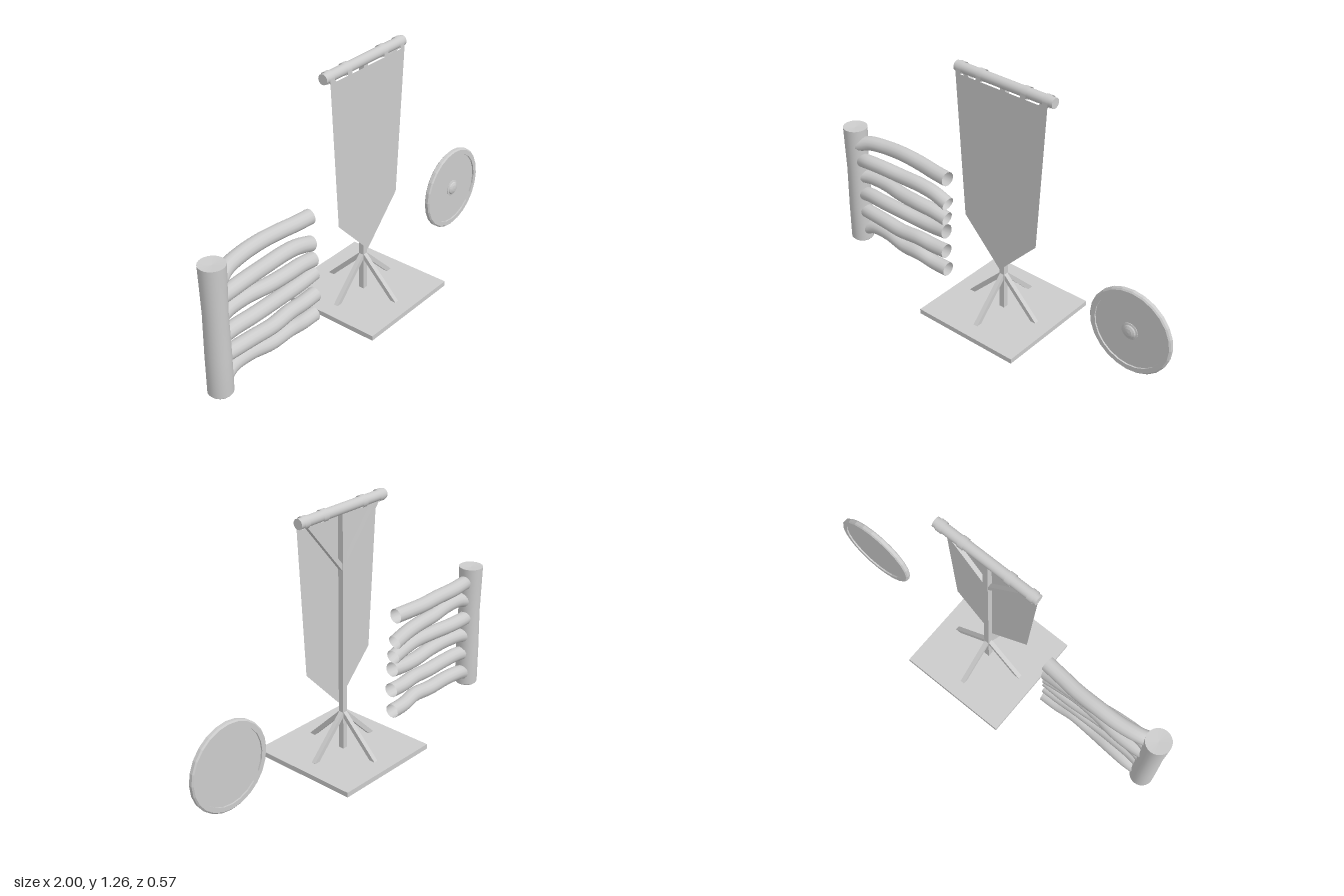
import * as THREE from 'three';

const mat = new THREE.MeshStandardMaterial({ color: 0xcccccc });
const thin = new THREE.MeshStandardMaterial({ color: 0xcccccc, side: THREE.DoubleSide });
const V = (x, y, z) => new THREE.Vector3(x, y, z);

function add(parent, name, geometry, material = mat, x = 0, y = 0, z = 0) {
  const m = new THREE.Mesh(geometry, material);
  m.name = name;
  m.position.set(x, y, z);
  parent.add(m);
  return m;
}

// square timber between two points
function beam(parent, name, a, b, size) {
  const m = add(parent, name, new THREE.BoxGeometry(size, a.distanceTo(b), size));
  m.position.copy(a).add(b).multiplyScalar(0.5);
  m.quaternion.setFromUnitVectors(V(0, 1, 0), b.clone().sub(a).normalize());
}

function createFence() {
  const g = new THREE.Group();
  g.name = 'logFence';
  // upright post with a slightly worn foot and waist
  const post = [[0, 0], [0.052, 0], [0.059, 0.008], [0.059, 0.2], [0.056, 0.42], [0.062, 0.665], [0.062, 0.665], [0, 0.66]];
  add(g, 'fencePost', new THREE.LatheGeometry(post.map(p => new THREE.Vector2(...p)), 24), thin, -0.938);

  // crooked rails: y and z at evenly spread stations along x
  const xs = [-0.92, -0.85, -0.74, -0.62, -0.5, -0.41, -0.32];
  const rails = [
    [[0.575, 0.594, 0.6, 0.603, 0.597, 0.594, 0.594], [0.015, -0.012, -0.03, -0.033, -0.03, -0.02, -0.012]],
    [[0.48, 0.497, 0.5, 0.492, 0.489, 0.478, 0.452], [0, 0.012, 0.008, -0.004, -0.01, -0.012, -0.01]],
    [[0.385, 0.392, 0.394, 0.392, 0.392, 0.386, 0.37], [0, -0.012, -0.012, 0.004, 0.01, 0.004, -0.002]],
    [[0.28, 0.295, 0.299, 0.297, 0.29, 0.291, 0.3], [0, 0.008, 0.016, 0.014, 0.006, 0.004, 0.004]],
    [[0.18, 0.186, 0.184, 0.178, 0.186, 0.18, 0.183], [0, 0.01, 0.015, 0.018, 0.014, 0.01, 0.008]],
    [[0.06, 0.087, 0.093, 0.08, 0.086, 0.07, 0.068], [0, -0.012, -0.008, 0.004, 0.008, 0.002, 0]],
  ];
  rails.forEach(([ys, zs], i) => {
    const path = new THREE.CatmullRomCurve3(xs.map((x, k) => V(x, ys[k], zs[k])));
    add(g, 'fenceRail' + (i + 1), new THREE.TubeGeometry(path, 28, 0.037, 14), thin);
  });
  return g;
}

function createBanner() {
  const g = new THREE.Group();
  g.name = 'bannerStand';
  g.position.x = 0.045;
  add(g, 'basePlate', new THREE.BoxGeometry(0.574, 0.025, 0.574), mat, 0, 0.0125, 0);
  add(g, 'pole', new THREE.BoxGeometry(0.028, 1.195, 0.028), mat, 0, 0.6175, 0);

  // feet braces on four sides
  for (const [dx, dz] of [[1, 0], [-1, 0], [0, 1], [0, -1]])
    beam(g, 'footBrace', V(dx * 0.2, 0.018, dz * 0.2), V(dx * 0.005, 0.215, dz * 0.005), 0.022);
  // upper braces under the crossbar
  for (const s of [-1, 1])
    beam(g, 'upperBrace', V(s * 0.004, 0.95, 0), V(s * 0.23, 1.222, 0), 0.022);

  const bar = add(g, 'crossbar', new THREE.CylinderGeometry(0.025, 0.025, 0.556, 20), mat, 0.002, 1.233, 0);
  bar.rotation.z = Math.PI / 2;

  // cloth straps around the bar
  for (const x of [-0.245, -0.127, 0.127, 0.245]) {
    const s = add(g, 'strap', new THREE.CylinderGeometry(0.029, 0.029, 0.03, 20, 1, true), thin, x, 1.233, 0);
    s.rotation.z = Math.PI / 2;
    add(g, 'strapTail', new THREE.PlaneGeometry(0.03, 0.026), thin, x, 1.222, 0.029);
  }

  // hanging cloth, tapering to a point
  const pts = [[-0.26, 1.213], [-0.214, 0.48], [0, 0.255], [0.214, 0.48], [0.26, 1.213]];
  const shape = new THREE.Shape(pts.map(p => new THREE.Vector2(...p)));
  add(g, 'cloth', new THREE.ShapeGeometry(shape), thin, 0, 0, 0.029);
  return g;
}

function createShield() {
  const g = new THREE.Group();
  g.name = 'roundShield';
  g.position.set(0.78, 0.255, -0.002);
  g.rotation.x = Math.PI / 2;
  const flat = mat.clone();
  flat.flatShading = true;
  const lathe = (name, p, n) =>
    add(g, name, new THREE.LatheGeometry(p.map(q => new THREE.Vector2(...q)), n), flat);
  // raised rim around the board
  lathe('rim', [[0.188, -0.014], [0.211, -0.014], [0.218, -0.008], [0.218, 0.008], [0.211, 0.014], [0.188, 0.014], [0.188, -0.014]], 24);
  add(g, 'board', new THREE.CylinderGeometry(0.192, 0.192, 0.012, 24), flat);
  // central boss with its collar
  lathe('boss', [[0.043, 0.004], [0.043, 0.009], [0.034, 0.011], [0.03, 0.016], [0.018, 0.021], [0, 0.023]], 20);
  return g;
}

export function createModel() {
  const model = new THREE.Group();
  model.name = 'campProps';
  model.add(createFence(), createBanner(), createShield());
  return model;
}
